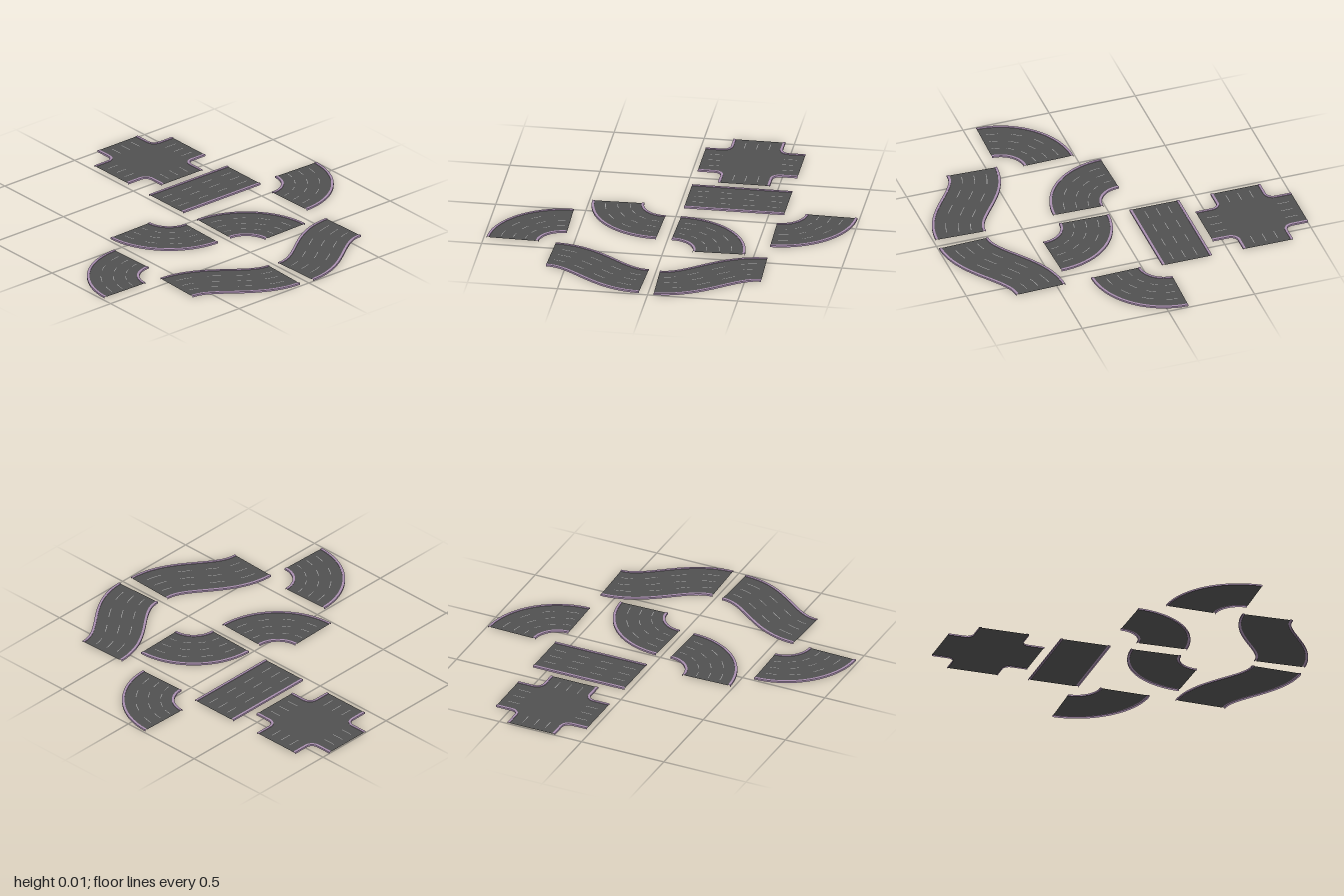
import * as THREE from 'three';

const material = color => new THREE.MeshStandardMaterial({ color, side: THREE.DoubleSide });
const asphalt = material(0x505050);
const kerbPaint = material(0xa98fb0);
const linePaint = material(0xa0a0a0);

const HALF = 0.144;    // half width of a road
const ROAD_Y = 0.007;  // asphalt level
const KERB_Y = 0.01;   // kerb top
const KERB_W = 0.014;
const LANE = 0.068;

// Sweeps a profile of [sideways offset, height] along a flat path of Vector2 (x, z)
function sweep(name, path, profile, mat) {
  const pos = [], index = [];
  const sides = path.map((p, i) => {
    const t = path[Math.min(i + 1, path.length - 1)].clone().sub(path[Math.max(i - 1, 0)]).normalize();
    return new THREE.Vector2(t.y, -t.x);
  });
  for (let k = 0; k < profile.length - 1; k++) {
    const base = pos.length / 3;
    path.forEach((p, i) => {
      for (const [o, y] of [profile[k], profile[k + 1]]) pos.push(p.x + sides[i].x * o, y, p.y + sides[i].y * o);
      if (i < path.length - 1) {
        const a = base + i * 2;
        index.push(a, a + 2, a + 1, a + 1, a + 2, a + 3);
      }
    });
  }
  const g = new THREE.BufferGeometry();
  g.setAttribute('position', new THREE.Float32BufferAttribute(pos, 3));
  g.setIndex(index);
  g.computeVertexNormals();
  const mesh = new THREE.Mesh(g, mat);
  mesh.name = name;
  return mesh;
}

// Kerb profile with its outer wall at the given offset
const leftKerb = o => [[o, 0], [o, KERB_Y], [o + KERB_W, KERB_Y], [o + KERB_W, ROAD_Y]];
const rightKerb = o => leftKerb(-o).map(([x, y]) => [-x, y]).reverse();
const dash = (path, o) => sweep('laneDash', path, [[o - 0.0018, ROAD_Y + 0.0004], [o + 0.0018, ROAD_Y + 0.0004]], linePaint);

// Road that follows at(t), t from 0 to 1
function road(name, at, segments = 32, dashes = 4) {
  const part = (a, b, n) => Array.from({ length: n + 1 }, (_, i) => at(a + (b - a) * i / n));
  const path = part(0, 1, segments);
  const group = new THREE.Group();
  group.name = name;
  const inner = HALF - KERB_W;
  group.add(
    sweep('asphalt', path, [[-inner, ROAD_Y], [inner, ROAD_Y]], asphalt),
    sweep('leftKerb', path, leftKerb(-HALF), kerbPaint),
    sweep('rightKerb', path, rightKerb(HALF), kerbPaint)
  );
  for (const lane of [-1, 0, 1])
    for (let d = 0; d < dashes; d++)
      group.add(dash(part((d + 0.25) / dashes, (d + 0.75) / dashes, 6), lane * LANE));
  return group;
}

// Four-way crossing with rounded inner corners
function crossing() {
  const group = new THREE.Group();
  group.name = 'crossing';
  const E = 0.277, F = 0.04;

  // Kerb line of one corner, walked with the road on its right
  const corner = [new THREE.Vector2(-HALF, -E)];
  for (let i = 0; i <= 8; i++) {
    const a = i / 8 * Math.PI / 2;
    corner.push(new THREE.Vector2(-HALF - F + F * Math.cos(a), -HALF - F + F * Math.sin(a)));
  }
  corner.push(new THREE.Vector2(-E, -HALF));

  // Asphalt outline from the four turned corners
  const outline = [];
  for (let q = 0; q < 4; q++)
    for (const p of corner.slice().reverse())
      outline.push(p.clone().rotateAround(new THREE.Vector2(), q * Math.PI / 2));
  const flat = new THREE.ShapeGeometry(new THREE.Shape(outline.map(p => new THREE.Vector2(p.x, -p.y))));
  flat.rotateX(-Math.PI / 2);
  const floor = new THREE.Mesh(flat, asphalt);
  floor.name = 'asphalt';
  floor.position.y = ROAD_Y;
  group.add(floor);

  // Kerb corner and lane dashes of each arm
  for (let q = 0; q < 4; q++) {
    const arm = new THREE.Group();
    arm.name = 'arm';
    arm.rotation.y = q * Math.PI / 2;
    arm.add(sweep('cornerKerb', corner, leftKerb(0), kerbPaint));
    for (const lane of [-1, 0, 1])
      arm.add(dash([new THREE.Vector2(0, -0.24), new THREE.Vector2(0, -0.17)], lane * LANE));
    group.add(arm);
  }
  group.position.set(-0.724, 0, -0.307);
  return group;
}

export function createModel() {
  const model = new THREE.Group();
  model.name = 'roadPieces';
  model.add(crossing());
  model.add(road('straightRoad', t => new THREE.Vector2(-0.254, -0.585 + 0.557 * t), 1));

  // Quarter bends: centre x, centre z, start angle in quarter turns
  const bends = [[-0.123, -0.567, 3], [0.433, -0.027, 2], [-0.123, 0.059, 0], [0.433, 0.561, 1]];
  for (const [x, z, q] of bends)
    model.add(road('quarterBend', t => {
      const a = (q + t) * Math.PI / 2;
      return new THREE.Vector2(x + 0.279 * Math.cos(a), z + 0.279 * Math.sin(a));
    }));

  // S-bends: start and end of the centre line
  for (const [x0, z0, x1, z1] of [[0.597, -0.585, 0.852, -0.028], [0.842, 0.045, 0.587, 0.602]]) {
    const h = (z1 - z0) * 0.4;
    const curve = new THREE.CubicBezierCurve(
      new THREE.Vector2(x0, z0), new THREE.Vector2(x0, z0 + h),
      new THREE.Vector2(x1, z1 - h), new THREE.Vector2(x1, z1));
    model.add(road('sBend', t => curve.getPoint(t)));
  }
  return model;
}
